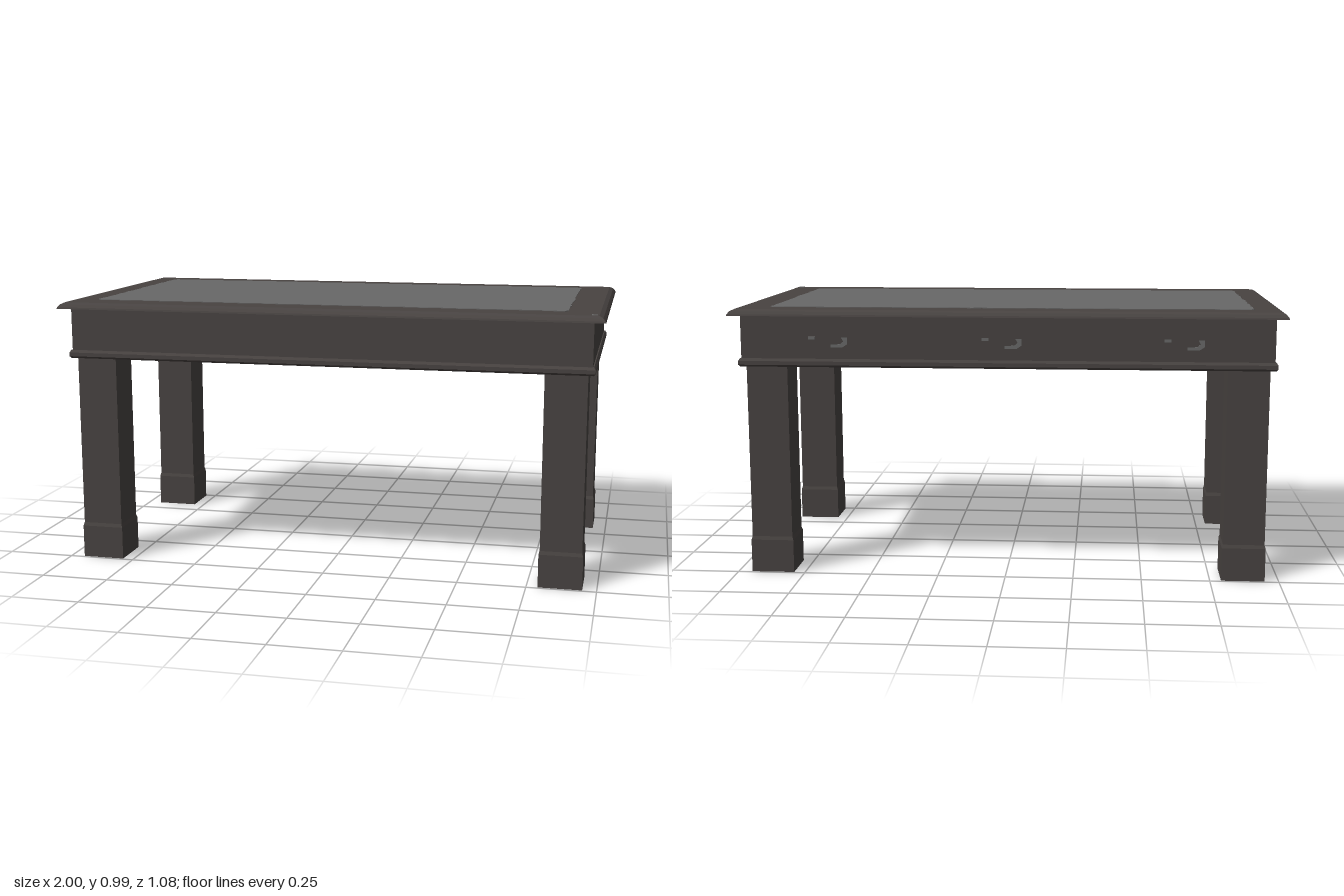
import * as THREE from 'three';

const wood = new THREE.MeshStandardMaterial({ color: 0x484341 });
wood.name = 'dark wood';
const grey = new THREE.MeshStandardMaterial({ color: 0x686868 });
grey.name = 'grey inlay';

// Sweeps a profile of [outset, y] points around a rectangle of half size hx by hz, with mitred corners.
function rectSweep(hx, hz, profile) {
  const corners = [[1, 1], [1, -1], [-1, -1], [-1, 1]];
  const at = ([o, y], i) => {
    const [sx, sz] = corners[i % 4];
    return [sx * (hx + o), y, sz * (hz + o)];
  };
  const pos = [];
  for (let p = 0; p < profile.length - 1; p++) {
    for (let i = 0; i < 4; i++) {
      const a = at(profile[p], i), b = at(profile[p], i + 1);
      const c = at(profile[p + 1], i + 1), d = at(profile[p + 1], i);
      pos.push(...a, ...b, ...c, ...a, ...c, ...d);
    }
  }
  const geo = new THREE.BufferGeometry();
  geo.setAttribute('position', new THREE.Float32BufferAttribute(pos, 3));
  geo.computeVertexNormals();
  return geo;
}

// Rectangle outline with slightly ragged edges and clipped corners.
function raggedShape(x0, x1, z0, z1) {
  let seed = 7;
  const wobble = () => {
    seed = (seed * 16807) % 2147483647;
    return (seed / 2147483647 - 0.5) * 0.008;
  };
  const c = 0.012;
  const ends = [
    [x0 + c, z0, x1 - c, z0], [x1, z0 + c, x1, z1 - c],
    [x1 - c, z1, x0 + c, z1], [x0, z1 - c, x0, z0 + c],
  ];
  const pts = [];
  for (const [ax, az, bx, bz] of ends) {
    const n = Math.round(Math.hypot(bx - ax, bz - az) / 0.04);
    for (let i = 0; i <= n; i++) {
      const t = i / n;
      const w = wobble();
      pts.push(new THREE.Vector2(
        ax + (bx - ax) * t + (ax === bx ? w : 0),
        az + (bz - az) * t + (az === bz ? w : 0)));
    }
  }
  return new THREE.Shape(pts);
}

export function createModel() {
  const table = new THREE.Group();
  table.name = 'table';
  const add = (name, geo, mat, x = 0, y = 0, z = 0) => {
    const mesh = new THREE.Mesh(geo, mat);
    mesh.name = name;
    mesh.position.set(x, y, z);
    table.add(mesh);
    return mesh;
  };

  // Top slab with a rounded, sloping lip
  add('tableTop', rectSweep(1, 0.54, [
    [-0.54, 0.962], [0, 0.962], [-0.002, 0.968], [-0.01, 0.978], [-0.024, 0.985], [-0.54, 0.985],
  ]), wood);

  // Apron ring, open underneath
  add('apron', rectSweep(0.96, 0.5, [
    [-0.025, 0.79], [0, 0.79], [0, 0.962], [-0.025, 0.962], [-0.025, 0.79],
  ]), wood);

  // Bead moulding along the lower apron edge
  add('apronMoulding', rectSweep(0.96, 0.5, [
    [-0.025, 0.775], [0.004, 0.775], [0.01, 0.782], [0.01, 0.796], [0.004, 0.805],
    [-0.002, 0.805], [-0.025, 0.805], [-0.025, 0.775],
  ]), wood);

  // Drawer case between the aprons
  add('drawerCase', new THREE.BoxGeometry(0.84, 0.172, 0.96), wood, 0, 0.876, 0);

  // Square legs with a wider foot block
  const h = 0.075;
  const legGeo = rectSweep(h, h, [
    [-h, 0], [0.004, 0], [0.004, 0.122], [0, 0.135], [0, 0.96],
  ]);
  for (const sx of [1, -1]) {
    for (const sz of [1, -1]) {
      const side = `${sz > 0 ? 'front' : 'back'}${sx > 0 ? 'Left' : 'Right'}Leg`;
      add(side, legGeo, wood, sx * 0.87, 0, sz * 0.413);
    }
  }

  // Grey inlay on the top, and its counterpart underneath
  const inlay = new THREE.ExtrudeGeometry(
    raggedShape(-0.89, 0.865, -0.41, 0.43), { depth: 0.002, bevelEnabled: false });
  inlay.rotateX(-Math.PI / 2);
  add('topInlay', inlay, grey, 0, 0.985, 0);
  add('undersideInlay', inlay, grey, 0, 0.9595, 0);
  add('cornerMark', new THREE.BoxGeometry(0.02, 0.002, 0.02), grey, 0.96, 0.986, 0.5);

  // Small drawer pulls on the back, each a hook with a stud beside it
  const hook = new THREE.Shape([
    [-0.03, -0.018], [0.012, -0.018], [0.03, -0.006], [0.03, 0.018],
    [0.008, 0.018], [0.016, 0.004], [0.004, -0.006], [-0.03, -0.008],
  ].map(([x, y]) => new THREE.Vector2(x, y)));
  const hookGeo = new THREE.ExtrudeGeometry(hook, { depth: 0.003, bevelEnabled: false });
  hookGeo.rotateY(Math.PI);
  const studGeo = new THREE.BoxGeometry(0.025, 0.01, 0.003);
  for (const x of [0.6, -0.03, -0.68]) {
    add('drawerPull', hookGeo, grey, x, 0.865, -0.5);
    add('drawerStud', studGeo, grey, x + 0.1, 0.88, -0.501);
  }

  return table;
}
